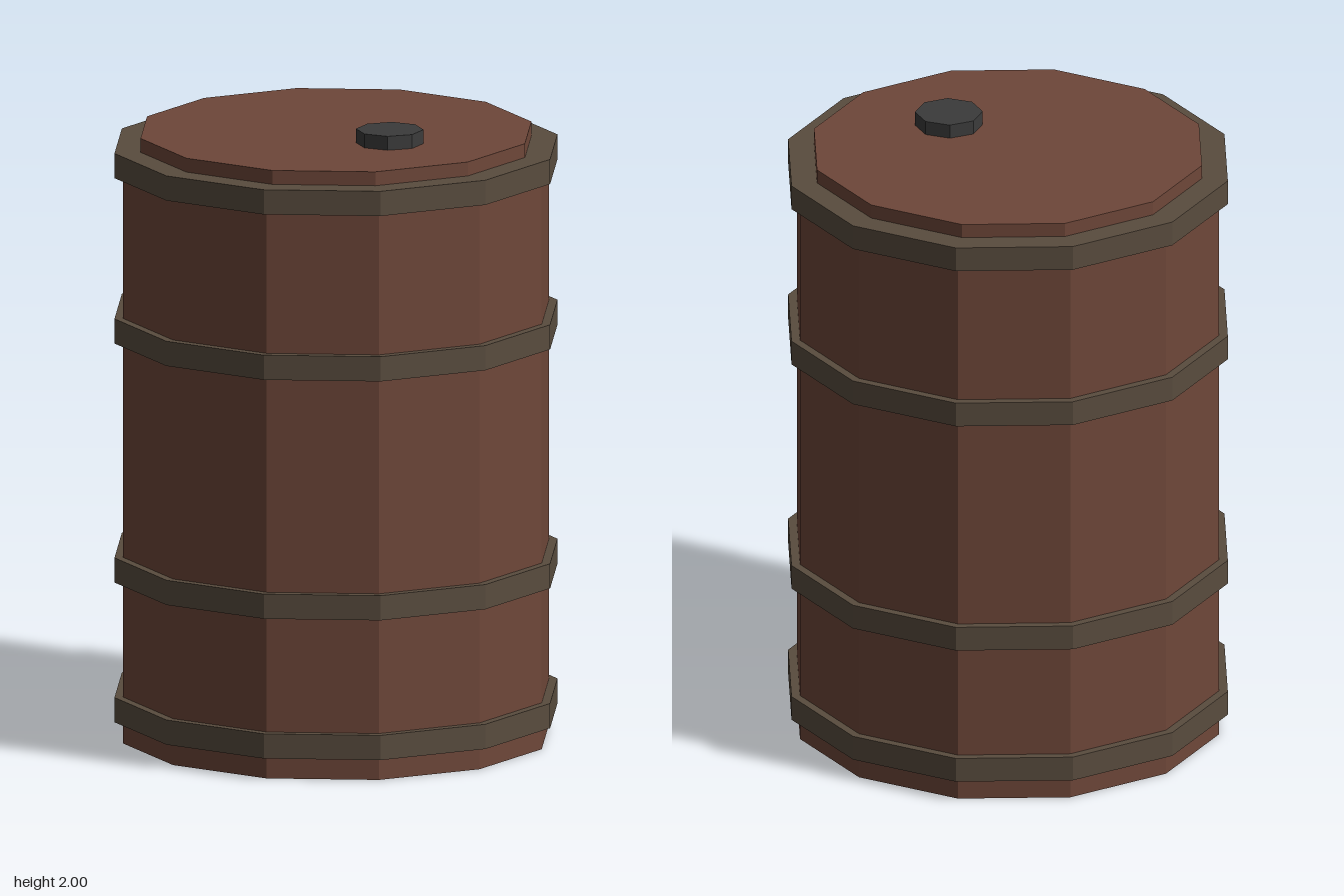
import * as THREE from 'three';

function mat(name, color) {
  const m = new THREE.MeshStandardMaterial({ color, flatShading: true });
  m.name = name;
  return m;
}

export function createModel() {
  const model = new THREE.Group();
  model.name = 'barrel';
  const rust = mat('rustBrown', 0x6e4739);
  const hoop = mat('hoopBrown', 0x594c3e);
  const dark = mat('capGrey', 0x3b3b3b);

  // Upright faceted cylinder between two heights
  function drum(name, material, radius, y0, y1, sides = 12, x = 0) {
    const mesh = new THREE.Mesh(new THREE.CylinderGeometry(radius, radius, y1 - y0, sides), material);
    mesh.name = name;
    mesh.position.set(x, (y0 + y1) / 2, 0);
    model.add(mesh);
  }

  drum('body', rust, 0.686, 0, 1.9);
  drum('lid', rust, 0.63, 1.88, 1.955);

  // Four raised hoops
  [0.11, 0.562, 1.335, 1.87].forEach((y, i) => drum(`hoop${i + 1}`, hoop, 0.714, y - 0.04, y + 0.04));

  // Filler cap, off centre on the lid
  drum('cap', dark, 0.107, 1.93, 2, 8, 0.257);

  return model;
}
